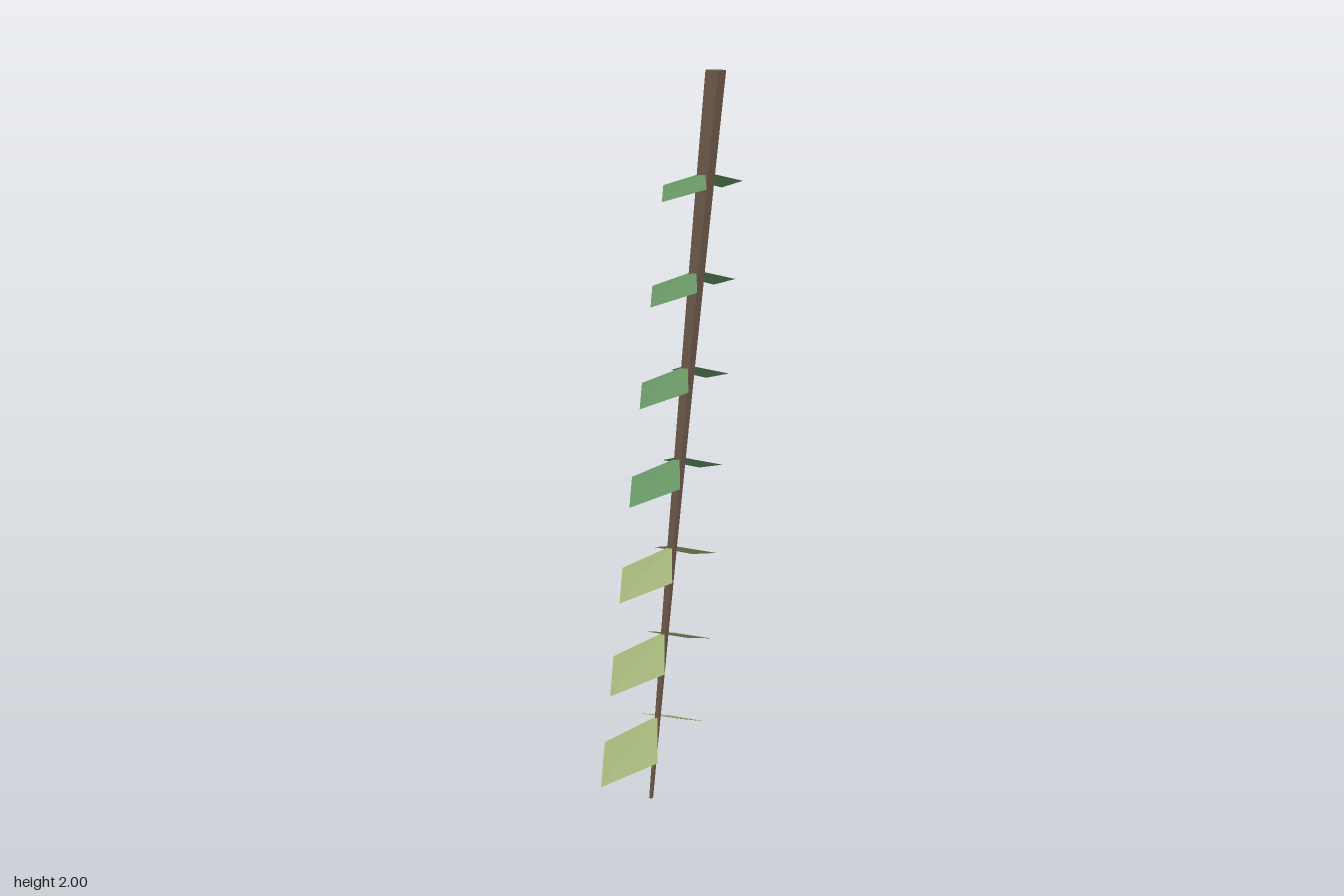
import * as THREE from 'three';

const HEIGHT = 2;
const LEAF_PAIRS = 7;

// Centre line of the curved stem at height y
function stemCentre(y) {
  const t = y / HEIGHT;
  return new THREE.Vector3(-0.016 + 0.16 * t - 0.037 * t * t, y, -0.024 + 0.044 * t + 0.06 * t * t);
}

// Faceted normals without shared vertices
function faceted(geometry) {
  const g = geometry.index ? geometry.toNonIndexed() : geometry;
  g.computeVertexNormals();
  return g;
}

// Tapered five-sided stem, bent along the centre line
function stemGeometry() {
  const g = new THREE.CylinderGeometry(0.028, 0.006, HEIGHT, 5, 8, false, Math.PI / 4);
  g.translate(0, HEIGHT / 2, 0);
  const p = g.attributes.position;
  for (let i = 0; i < p.count; i++) {
    const c = stemCentre(p.getY(i));
    p.setX(i, p.getX(i) + c.x);
    p.setZ(i, p.getZ(i) + c.z);
  }
  return faceted(g);
}

// Four-cornered leaf around a slightly raised middle; corners are [x, z] offsets from its base
function leafGeometry([sideA, tip, sideB], scale, drop) {
  const at = ([x, z], y) => new THREE.Vector3(x * scale, y, z * scale);
  const ring = [at([0, 0], 0), at(sideA, -drop * 0.5), at(tip, -drop), at(sideB, -drop * 0.5)];
  const middle = at([tip[0] / 2, tip[1] / 2], -drop * 0.5 + 0.007);
  const points = [];
  ring.forEach((corner, i) => points.push(middle, corner, ring[(i + 1) % 4]));
  return faceted(new THREE.BufferGeometry().setFromPoints(points));
}

export function createModel() {
  const bark = new THREE.MeshStandardMaterial({ color: 0x6b5648, name: 'brown bark' });
  const young = new THREE.MeshStandardMaterial({ color: 0xa0b178, name: 'pale leaf green', side: THREE.DoubleSide });
  const mature = new THREE.MeshStandardMaterial({ color: 0x679464, name: 'deep leaf green', side: THREE.DoubleSide });

  const vine = new THREE.Group();
  vine.name = 'hangingVine';

  const stem = new THREE.Mesh(stemGeometry(), bark);
  stem.name = 'stem';
  vine.add(stem);

  // Corner order runs counter-clockwise seen from above
  const outlines = {
    rightLeaf: [[-0.137, -0.066], [-0.238, 0.04], [-0.11, 0.125]],
    leftLeaf: [[0.16, 0.025], [0.2, -0.125], [0.053, -0.138]],
  };

  // Leaf pairs shrink and droop less towards the top; the lowest three are paler
  for (let i = 0; i < LEAF_PAIRS; i++) {
    const t = i / (LEAF_PAIRS - 1);
    const pair = new THREE.Group();
    pair.name = `leafPair${i + 1}`;
    pair.position.copy(stemCentre(0.25 * (i + 1)));
    for (const [name, outline] of Object.entries(outlines)) {
      const geometry = leafGeometry(outline, 1 - 0.28 * t, 0.12 - 0.062 * t);
      const leaf = new THREE.Mesh(geometry, i < 3 ? young : mature);
      leaf.name = name;
      pair.add(leaf);
    }
    vine.add(pair);
  }
  return vine;
}
